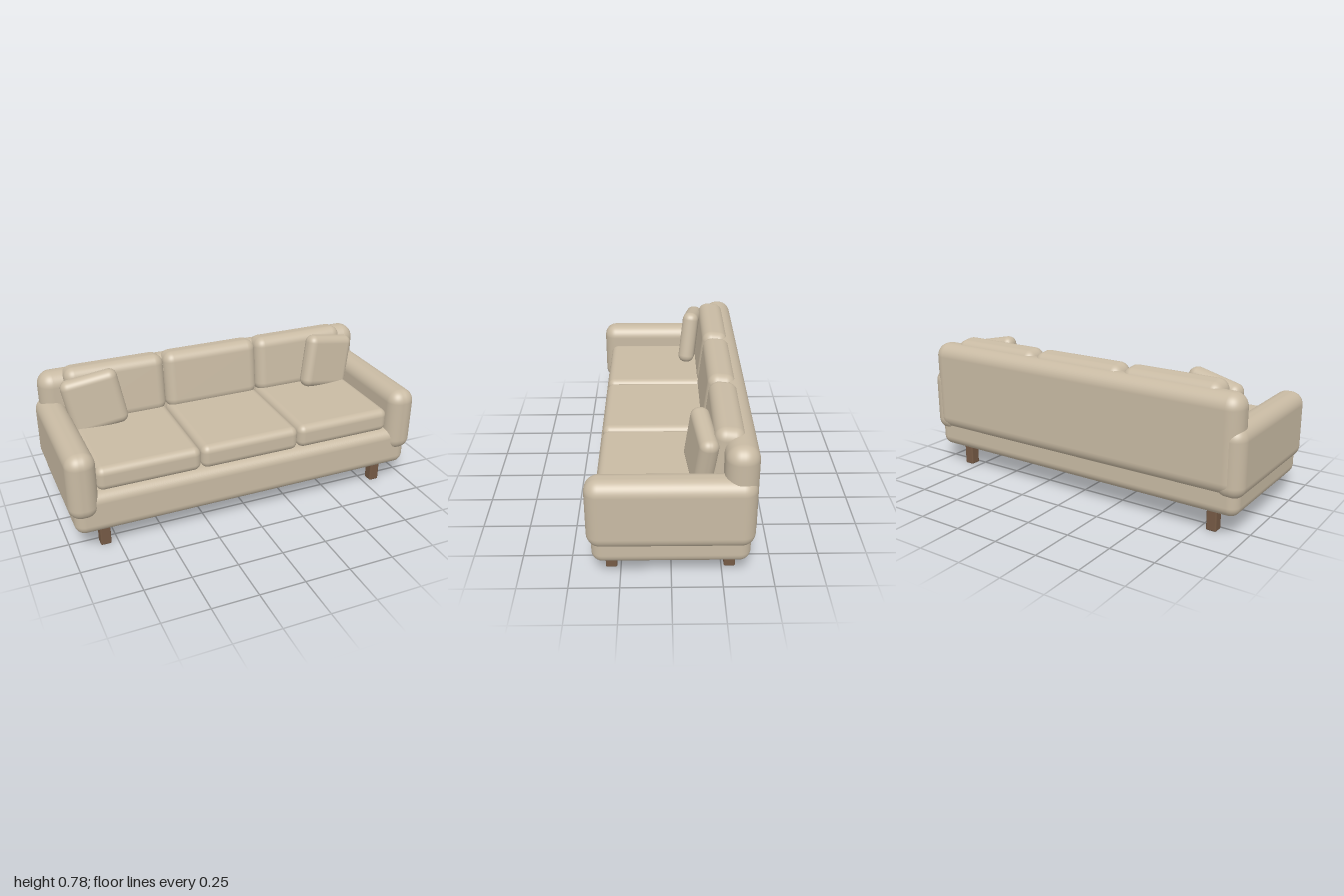
import * as THREE from 'three';
import { RoundedBoxGeometry } from 'three/addons/geometries/RoundedBoxGeometry.js';

export function createModel() {
  const sofa = new THREE.Group();
  sofa.name = 'sofa';

  const fabric = new THREE.MeshStandardMaterial({ color: 0xc8baa3 });
  fabric.name = 'beige fabric';
  const wood = new THREE.MeshStandardMaterial({ color: 0x755a45 });
  wood.name = 'brown wood';

  // Rounded block given by size, corner radius and centre
  function block(name, size, radius, centre, material = fabric) {
    const mesh = new THREE.Mesh(new RoundedBoxGeometry(...size, 6, radius), material);
    mesh.name = name;
    mesh.position.set(...centre);
    sofa.add(mesh);
    return mesh;
  }

  // Frame
  block('base', [1.95, 0.23, 0.765], 0.055, [0, 0.233, 0.002]);
  block('backrest', [1.955, 0.515, 0.16], 0.075, [0, 0.485, -0.325]);

  // Three seat cushions and three leaning back cushions
  for (const i of [-1, 0, 1]) {
    block('seatCushion', [0.562, 0.132, 0.62], 0.04, [i * 0.565, 0.409, 0.05]);
    const cushion = block('backCushion', [0.562, 0.33, 0.15], 0.055, [i * 0.565, 0.606, -0.26]);
    cushion.rotation.x = -0.12;
  }

  // Mirrored arms, throw pillows and legs
  for (const s of [-1, 1]) {
    const side = s > 0 ? 'left' : 'right';
    block(side + 'Arm', [0.155, 0.368, 0.805], 0.068, [s * 0.9225, 0.399, 0.003]);

    const pillow = block(side + 'ThrowPillow', [0.312, 0.312, 0.095], 0.043, [s * 0.712, 0.603, -0.144]);
    pillow.rotation.set(-0.09, s * 0.16, s * -0.18);

    block(side + 'FrontLeg', [0.057, 0.13, 0.057], 0.008, [s * 0.817, 0.065, 0.297], wood);
    block(side + 'BackLeg', [0.057, 0.13, 0.057], 0.008, [s * 0.817, 0.065, -0.291], wood);
  }

  return sofa;
}
